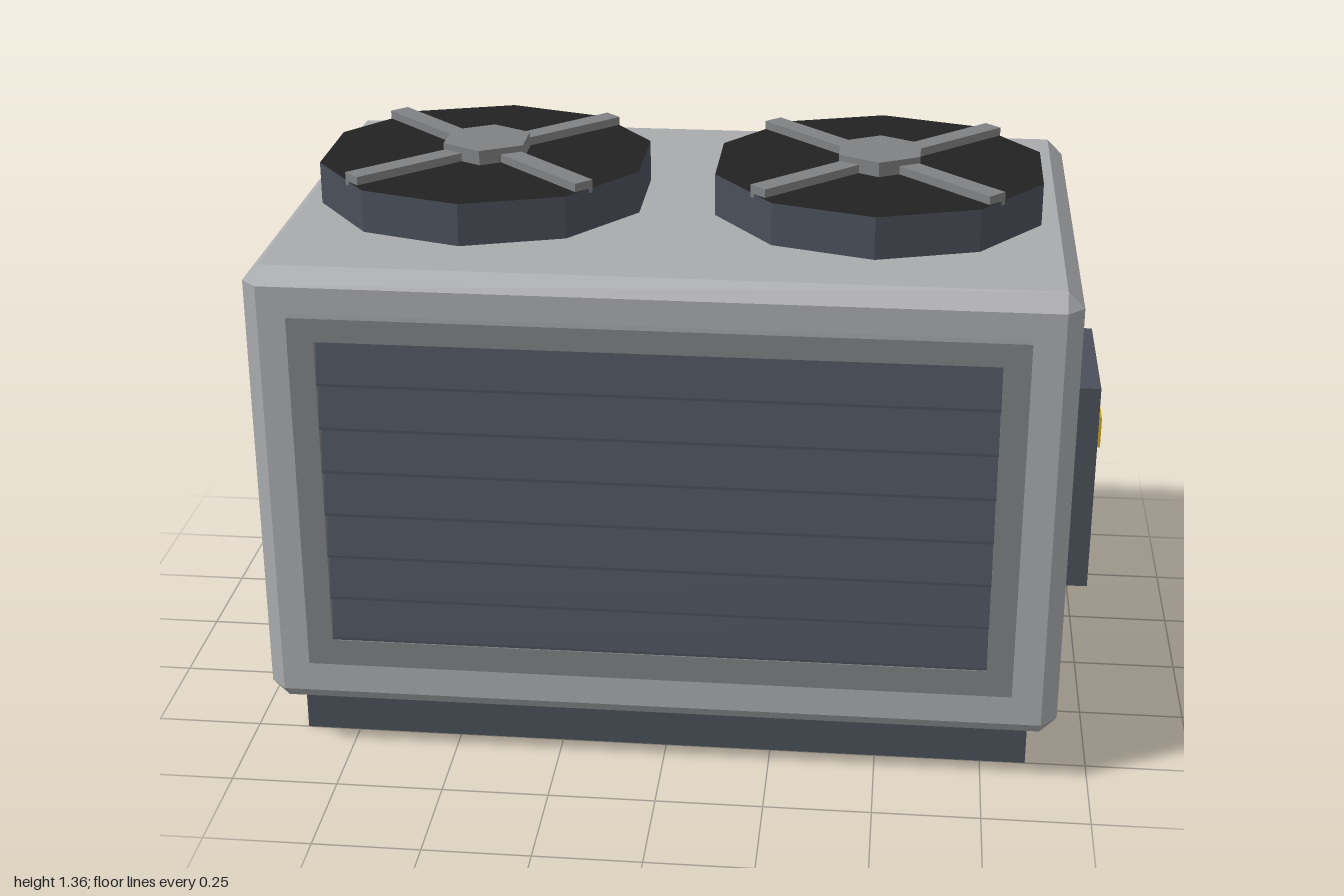
import * as THREE from 'three';
import { ConvexGeometry } from 'three/addons/geometries/ConvexGeometry.js';

const mat = (name, color) => {
  const m = new THREE.MeshStandardMaterial({ color });
  m.name = name;
  return m;
};

// Box with all edges cut at 45 degrees
function chamferedBox(w, h, d, c) {
  const pts = [];
  for (const sx of [-1, 1]) for (const sy of [-1, 1]) for (const sz of [-1, 1]) {
    const x = w / 2, y = h / 2, z = d / 2;
    pts.push(
      new THREE.Vector3(sx * x, sy * (y - c), sz * (z - c)),
      new THREE.Vector3(sx * (x - c), sy * y, sz * (z - c)),
      new THREE.Vector3(sx * (x - c), sy * (y - c), sz * z));
  }
  return new ConvexGeometry(pts);
}

export function createModel() {
  const casing = mat('casing grey', 0xaaabad);
  const trim = mat('trim grey', 0x808183);
  const slate = mat('slate', 0x4a4f59);
  const black = mat('fan black', 0x222222);
  const copper = mat('copper', 0xb06c45);
  const yellow = mat('label yellow', 0xc9a522);

  const root = new THREE.Group();
  root.name = 'outdoorCoolingUnit';
  const add = (parent, name, geo, material, x = 0, y = 0, z = 0) => {
    const m = new THREE.Mesh(geo, material);
    m.name = name;
    m.position.set(x, y, z);
    parent.add(m);
    return m;
  };
  const box = (w, h, d) => new THREE.BoxGeometry(w, h, d);
  // Faceted cylinder with flat normals
  const prism = (rTop, rBottom, h, sides) => {
    const g = new THREE.CylinderGeometry(rTop, rBottom, h, sides);
    const flat = g.toNonIndexed();
    flat.computeVertexNormals();
    g.groups.forEach(r => flat.addGroup(r.start, r.count, r.materialIndex));
    return flat;
  };
  const midX = -0.01;

  // Casing and the two base rails
  add(root, 'casing', chamferedBox(1.86, 1.095, 1.2, 0.038), casing, midX, 0.6725, 0);
  for (const s of [-1, 1]) add(root, 'baseRail', box(1.735, 0.13, 0.15), slate, midX, 0.065, s * 0.425);

  // Louvred grille, one on the front and one on the back
  const frameShape = new THREE.Shape([[-0.82, 0.25], [0.82, 0.25], [0.82, 1.12], [-0.82, 1.12]]
    .map(p => new THREE.Vector2(...p)));
  frameShape.holes.push(new THREE.Path([[-0.76, 0.315], [-0.76, 1.065], [0.76, 1.065], [0.76, 0.315]]
    .map(p => new THREE.Vector2(...p))));
  const frameGeo = new THREE.ExtrudeGeometry(frameShape, { depth: 0.04, bevelEnabled: false });
  const pitch = 0.75 / 7;
  // Wedge slat: profile in (depth, height), run along x
  const slatShape = new THREE.Shape([[0, 0], [0.03, 0], [0.03, 0.006], [0.008, pitch], [0, pitch]]
    .map(p => new THREE.Vector2(...p)));
  const slatGeo = new THREE.ExtrudeGeometry(slatShape, { depth: 1.52, bevelEnabled: false });
  slatGeo.rotateY(-Math.PI / 2).translate(0.76, 0, 0);
  for (const turn of [0, Math.PI]) {
    const grille = new THREE.Group();
    grille.name = turn ? 'backGrille' : 'frontGrille';
    grille.position.x = midX;
    grille.rotation.y = turn;
    add(grille, 'grilleFrame', frameGeo, trim, 0, 0, 0.587);
    for (let i = 0; i < 7; i++) add(grille, 'louvreSlat', slatGeo, slate, 0, 0.315 + i * pitch, 0.594);
    root.add(grille);
  }

  // Fans on the roof
  for (const x of [-0.48, 0.46]) {
    const fan = new THREE.Group();
    fan.name = 'fan';
    fan.position.set(x, 0, 0);
    add(fan, 'fanHousing', prism(0.4, 0.4, 0.11, 10), [slate, black, slate], 0, 1.265, 0);
    for (const s of [-1, 1]) {
      add(fan, 'fanStrut', box(0.766, 0.03, 0.05), trim, 0, 1.325, 0).rotation.y = s * Math.PI / 4;
    }
    add(fan, 'fanHub', prism(0.11, 0.11, 0.045, 6), trim, 0, 1.3325, 0);
    root.add(fan);
  }

  // Control box with its label plate
  add(root, 'controlBox', box(0.07, 0.5, 0.375), slate, 0.945, 0.685, 0.2275);
  add(root, 'controlLabel', box(0.025, 0.075, 0.125), yellow, 0.985, 0.7725, 0.2275);

  // Copper pipes, each a tapered riser and a short elbow into the casing
  for (const z of [-0.3, -0.2]) {
    const pipe = new THREE.Group();
    pipe.name = 'copperPipe';
    add(pipe, 'pipeRiser', prism(0.012, 0.022, 0.535, 6), copper, -0.978, 0.2675, z).rotation.y = Math.PI / 2;
    add(pipe, 'pipeElbow', prism(0.019, 0.016, 0.05, 6), copper, -0.962, 0.525, z).rotation.z = Math.PI / 2;
    root.add(pipe);
  }
  return root;
}
